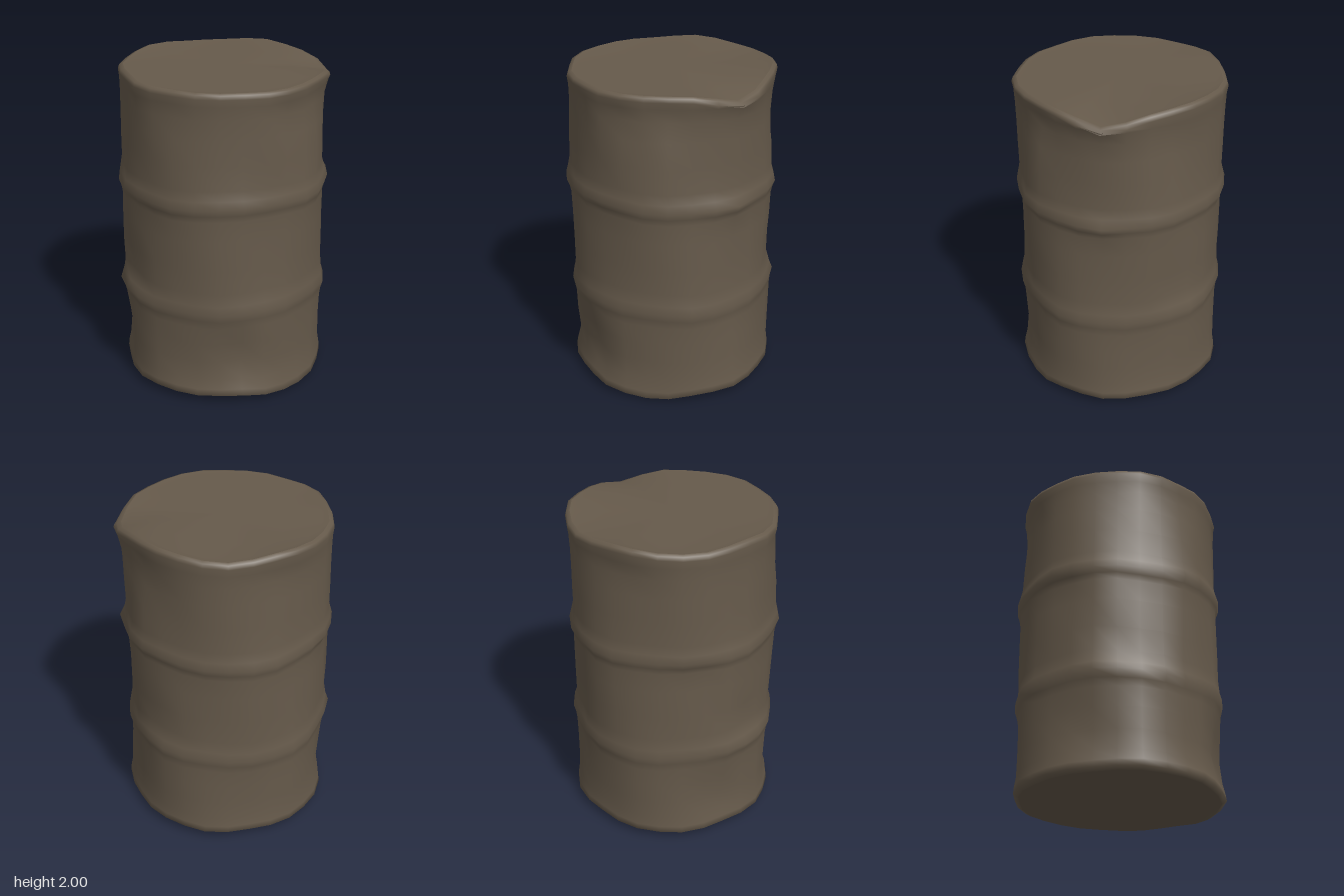
import * as THREE from 'three';
import { mergeVertices } from 'three/addons/utils/BufferGeometryUtils.js';

const SEGMENTS = 28;

// Dents and bulges: [angle from front towards +x, height, angular width, height width, depth]
const DENTS = [
  [0.0, 0.27, 0.24, 0.17, -0.055],
  [-0.55, 0.22, 0.25, 0.12, -0.02],
  [0.55, 0.2, 0.2, 0.13, -0.02],
  [0.5, 1.8, 0.16, 0.13, -0.035],
  [0.95, 1.82, 0.15, 0.13, -0.035],
  [-0.7, 1.82, 0.2, 0.16, -0.02],
  [-1.3, 0.8, 0.22, 0.1, -0.035],
  [-1.65, 0.28, 0.25, 0.14, -0.025],
  [-1.9, 1.15, 0.22, 0.12, -0.025],
  [-2.5, 1.8, 0.25, 0.12, -0.015],
  [2.4, 0.8, 0.25, 0.12, -0.025],
  [2.3, 1.75, 0.25, 0.15, -0.02],
  [1.55, 1.27, 0.2, 0.05, 0.025],
  [1.55, 1.92, 0.25, 0.05, 0.035],
  [-1.4, 0.62, 0.25, 0.05, 0.015],
  [-2.7, 1.95, 0.3, 0.05, 0.01],
];

// Local rises and dips of the two rims: [angle, width, rise]
const TOP_RIM = [[1.57, 0.25, -0.055], [2.5, 0.35, 0.022], [-2.55, 0.35, 0.022], [-1.4, 0.4, 0.012]];
const BOTTOM_RIM = [[0.65, 0.4, -0.033], [-2.2, 0.4, -0.008]];

const bell = (d, w) => Math.exp(-(d * d) / (w * w));
const turn = (a, b) => Math.atan2(Math.sin(a - b), Math.cos(a - b));
const rise = (list, a) => list.reduce((s, [c, w, h]) => s + h * bell(turn(a, c), w), 0);

// Batters a revolved surface with dents, wavy hoops and uneven rims
function batter(geometry) {
  geometry.deleteAttribute('uv');
  geometry.deleteAttribute('normal');
  const merged = mergeVertices(geometry, 1e-4);
  const p = merged.attributes.position;
  for (let i = 0; i < p.count; i++) {
    const x = p.getX(i), y = p.getY(i), z = p.getZ(i);
    const r = Math.hypot(x, z), a = Math.atan2(x, z);
    const edge = Math.min(1, r / 0.6) ** 4;
    let dr = 0.007 * Math.sin(5 * a + 3 * y) + 0.006 * Math.sin(9 * a - 4 * y);
    for (const [c, h, w, v, depth] of DENTS) dr += depth * bell(turn(a, c), w) * bell(y - h, v);
    let dy = 0.01 * Math.sin(3 * a + y) * bell(y - 1, 0.6);
    if (y > 1.9) dy += rise(TOP_RIM, a) * edge;
    if (y < 0.14) dy += rise(BOTTOM_RIM, a) * edge;
    const s = r > 0 ? (r + dr * edge) / r : 1;
    const lean = -0.015 * bell(y - 1, 1.2);
    p.setXYZ(i, x * s + lean, y + dy, z * s);
  }
  merged.computeVertexNormals();
  return merged;
}

function revolve(name, profile, material) {
  const points = profile.map(([r, y]) => new THREE.Vector2(r, y));
  const mesh = new THREE.Mesh(batter(new THREE.LatheGeometry(points, SEGMENTS)), material);
  mesh.name = name;
  return mesh;
}

export function createModel() {
  const group = new THREE.Group();
  group.name = 'batteredDrum';
  const rust = new THREE.MeshStandardMaterial({ color: 0x665a4b, side: THREE.DoubleSide });
  rust.name = 'dull brown metal';

  // Wall with two raised hoops and rolled rims
  const wall = [
    [0.605, 0.033], [0.635, 0.05], [0.632, 0.09], [0.622, 0.15], [0.62, 0.27], [0.62, 0.4], [0.622, 0.52],
    [0.628, 0.57], [0.642, 0.62], [0.628, 0.67], [0.62, 0.75], [0.62, 0.9], [0.62, 1.08], [0.622, 1.21],
    [0.63, 1.25], [0.645, 1.29], [0.632, 1.34], [0.62, 1.4], [0.618, 1.55], [0.616, 1.7],
    [0.618, 1.82], [0.622, 1.9], [0.63, 1.945], [0.622, 1.968], [0.6, 1.976],
  ];
  group.add(revolve('drumWall', wall, rust));

  // Flat ends
  group.add(revolve('lid', [[0.6, 1.976], [0.56, 1.973], [0.4, 1.972], [0, 1.972]], rust));
  group.add(revolve('base', [[0, 0.035], [0.4, 0.035], [0.56, 0.035], [0.605, 0.033]], rust));
  return group;
}
